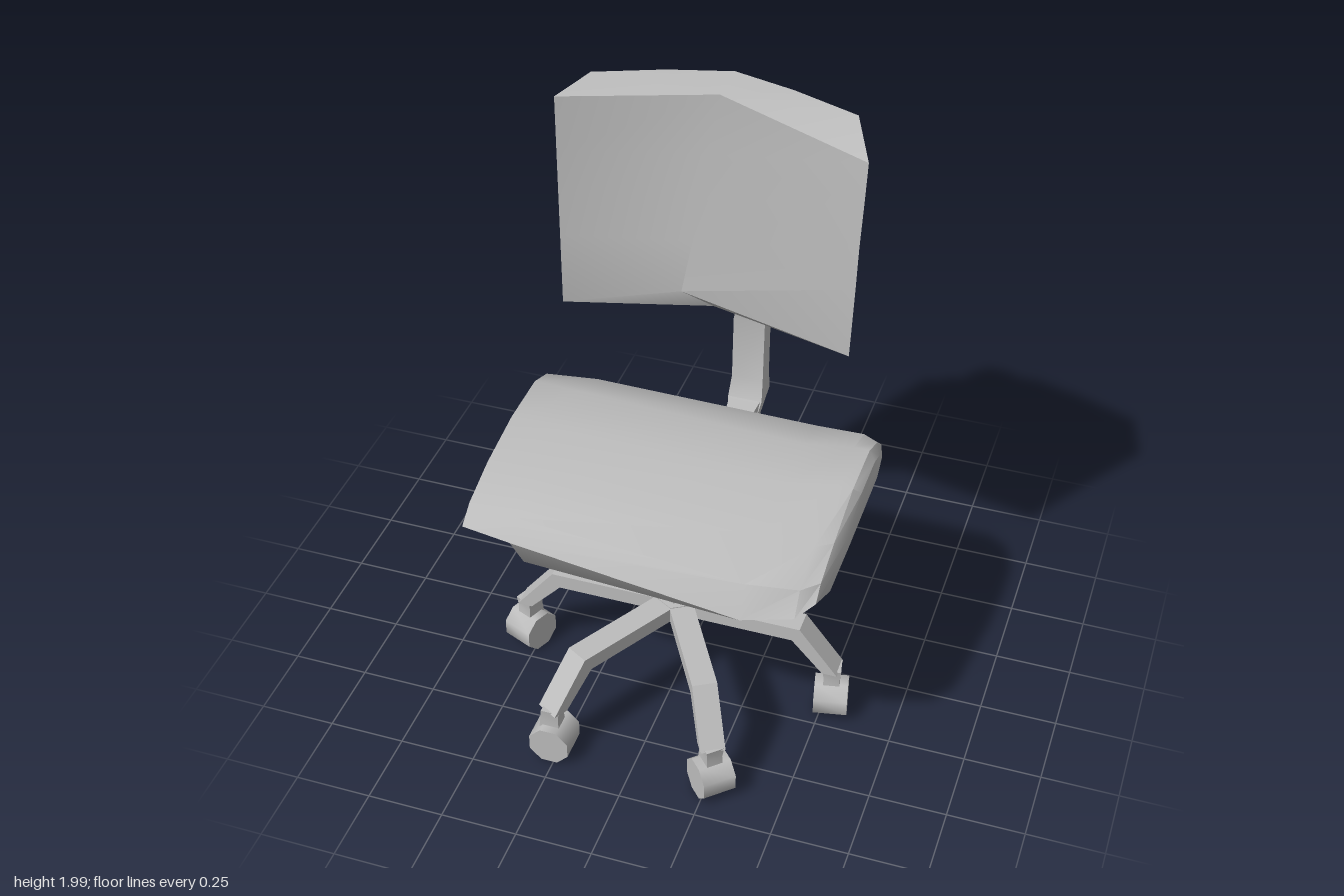
import * as THREE from 'three';
import { toCreasedNormals } from 'three/addons/utils/BufferGeometryUtils.js';

const grey = new THREE.MeshStandardMaterial({ color: 0xbcbcbc });
grey.name = 'plain grey';

// Skin a row of equal-length point loops and close both ends, facing outwards
function loft(loops) {
  const n = loops[0].length, m = loops.length;
  const pts = loops.flat().map(p => new THREE.Vector3(...p));
  const tris = [];
  for (let i = 0; i < m - 1; i++) {
    for (let j = 0; j < n; j++) {
      const a = i * n + j, b = i * n + (j + 1) % n;
      tris.push([a, b, b + n], [a, b + n, a + n]);
    }
  }
  for (const end of [0, m - 1]) {
    const mid = new THREE.Vector3();
    for (let j = 0; j < n; j++) mid.addScaledVector(pts[end * n + j], 1 / n);
    const c = pts.push(mid) - 1;
    for (let j = 0; j < n; j++) {
      const a = end * n + j, b = end * n + (j + 1) % n;
      tris.push(end ? [a, b, c] : [b, a, c]);
    }
  }
  // A negative volume means the loops run the other way round
  let volume = 0;
  const cross = new THREE.Vector3();
  for (const [a, b, c] of tris) volume += pts[a].dot(cross.crossVectors(pts[b], pts[c]));
  if (volume < 0) tris.forEach(t => t.reverse());
  const g = new THREE.BufferGeometry().setFromPoints(pts);
  g.setIndex(tris.flat());
  return g;
}

function part(parent, name, geometry, crease = 0.6) {
  const mesh = new THREE.Mesh(toCreasedNormals(geometry, crease), grey);
  mesh.name = name;
  parent.add(mesh);
  return mesh;
}

// Upright tapered cylinder between two heights
function column(y0, y1, r0, r1, sides = 8) {
  return new THREE.CylinderGeometry(r1, r0, y1 - y0, sides).translate(0, (y0 + y1) / 2, 0);
}

// Rectangular loop lying flat at height y
const flatLoop = (y, hx, z0, z1) => [[-hx, y, z0], [hx, y, z0], [hx, y, z1], [-hx, y, z1]];
// Rectangular loop standing at depth z
const standingLoop = (z, hx, y0, y1) => [[-hx, y0, z], [hx, y0, z], [hx, y1, z], [-hx, y1, z]];

function createBase() {
  const base = new THREE.Group();
  base.name = 'base';
  base.position.z = 0.165;
  part(base, 'hub', column(0.31, 0.37, 0.075, 0.075, 6));
  part(base, 'gasColumn', column(0.36, 0.49, 0.05, 0.062));
  part(base, 'seatNeck', column(0.6, 0.68, 0.055, 0.075));
  part(base, 'housing', loft([
    flatLoop(0.47, 0.062, -0.065, 0.06), flatLoop(0.5, 0.08, -0.08, 0.085), flatLoop(0.625, 0.08, -0.09, 0.085)
  ]));

  // Bent leg profile: distance from the hub against height
  const outline = [[0, 0.315], [0.4, 0.315], [0.505, 0.2], [0.555, 0.2], [0.425, 0.367], [0, 0.367]];
  const legShape = new THREE.Shape(outline.map(p => new THREE.Vector2(...p)));
  const legGeometry = new THREE.ExtrudeGeometry(legShape, { depth: 0.08, bevelEnabled: false }).translate(0, 0, -0.04);
  const casterYaw = [0.2, 0.75, Math.PI / 2, -0.4, 0.6, -0.75];
  casterYaw.forEach((yaw, i) => {
    const leg = new THREE.Group();
    leg.name = 'leg' + (i + 1);
    leg.rotation.y = -i * Math.PI / 3;
    part(leg, 'legBar', legGeometry);
    const caster = new THREE.Group();
    caster.name = 'caster';
    caster.position.x = 0.53;
    caster.rotation.y = i * Math.PI / 3 + yaw;
    part(caster, 'casterStem', loft([
      flatLoop(0.12, 0.028, -0.04, 0.03), flatLoop(0.165, 0.026, -0.035, 0.025), flatLoop(0.205, 0.03, -0.03, 0.03)
    ]));
    const wheel = new THREE.CylinderGeometry(0.07, 0.07, 0.11, 8);
    part(caster, 'wheel', wheel.rotateY(Math.PI / 8).rotateZ(Math.PI / 2).translate(0, 0.077, 0), 0.9);
    leg.add(caster);
    base.add(leg);
  });
  return base;
}

// Cushion sections across the width: x, then [z, y] from the front crease over the top
const seatSections = [
  [-0.56, [[0.565, 0.83], [0.5, 0.875], [0.35, 0.92], [0.15, 0.95], [-0.05, 0.95], [-0.15, 0.91], [-0.215, 0.85], [-0.12, 0.74], [0.3, 0.72]]],
  [-0.4, [[0.575, 0.815], [0.52, 0.87], [0.35, 0.915], [0.15, 0.945], [-0.05, 0.945], [-0.2, 0.89], [-0.285, 0.8], [-0.16, 0.66], [0.48, 0.66]]],
  [0.35, [[0.63, 0.765], [0.58, 0.865], [0.38, 0.9], [0.15, 0.918], [-0.05, 0.918], [-0.2, 0.88], [-0.285, 0.8], [-0.16, 0.675], [0.5, 0.675]]],
  [0.51, [[0.6, 0.79], [0.55, 0.86], [0.4, 0.905], [0.15, 0.945], [-0.05, 0.945], [-0.18, 0.9], [-0.265, 0.82], [-0.15, 0.7], [0.45, 0.705]]],
  [0.56, [[0.55, 0.82], [0.5, 0.86], [0.36, 0.9], [0.15, 0.945], [-0.05, 0.945], [-0.15, 0.9], [-0.22, 0.84], [-0.12, 0.73], [0.38, 0.725]]],
  [0.583, [[0.35, 0.84], [0.3, 0.87], [0.24, 0.89], [0.13, 0.92], [-0.03, 0.92], [-0.09, 0.9], [-0.13, 0.86], [-0.08, 0.82], [0.25, 0.81]]]
];

// Backrest levels: front left, middle and right points, then the back's height, outer, inner and centre depth
const backLevels = [
  { front: [[-0.47, 1.25, -0.1], [-0.1, 1.32, -0.175], [0.465, 1.25, -0.1]], y: 1.232, outer: -0.22, inner: -0.32, centre: -0.385 },
  { front: [[-0.47, 1.5, -0.1], [-0.07, 1.5, -0.195], [0.475, 1.5, -0.097]], y: 1.5, outer: -0.24, inner: -0.41, centre: -0.46 },
  { front: [[-0.47, 1.65, -0.1], [-0.05, 1.65, -0.21], [0.48, 1.65, -0.095]], y: 1.65, outer: -0.25, inner: -0.425, centre: -0.485 },
  { front: [[-0.47, 1.8, -0.1], [-0.03, 1.8, -0.225], [0.488, 1.8, -0.093]], y: 1.8, outer: -0.25, inner: -0.39, centre: -0.445 },
  { front: [[-0.47, 1.985, -0.1], [0, 2, -0.24], [0.495, 1.945, -0.09]], y: 2, outer: -0.25, inner: -0.335, centre: -0.39 }
];

// Backrest post: height, half width, front and rear depth
const postLevels = [
  [0.56, 0.045, -0.5, -0.57], [0.65, 0.06, -0.555, -0.65], [0.72, 0.055, -0.58, -0.655], [0.95, 0.055, -0.59, -0.66],
  [1.0, 0.045, -0.585, -0.662], [1.06, 0.055, -0.57, -0.69], [1.13, 0.04, -0.588, -0.67], [1.24, 0.052, -0.565, -0.69],
  [1.34, 0.045, -0.585, -0.69], [1.45, 0.052, -0.565, -0.688], [1.56, 0.06, -0.575, -0.685], [1.61, 0.055, -0.585, -0.665]
];

export function createModel() {
  const chair = new THREE.Group();
  chair.name = 'officeChair';
  chair.add(createBase());

  part(chair, 'seat', loft(seatSections.map(([x, ring]) => ring.map(([z, y]) => [x, y, z]))));

  part(chair, 'backrest', loft(backLevels.map(({ front, y, outer, inner, centre }) => [
    ...front, [0.42, y, outer], [0.2, y, inner], [0, y, centre], [-0.2, y, inner], [-0.41, y, outer]
  ])));

  // Support arm under the seat, then the post behind it
  part(chair, 'supportArm', loft([
    standingLoop(0.12, 0.06, 0.55, 0.625), standingLoop(-0.1, 0.045, 0.555, 0.622),
    standingLoop(-0.46, 0.045, 0.555, 0.637), standingLoop(-0.56, 0.055, 0.55, 0.65)
  ]));
  part(chair, 'backPost', loft(postLevels.map(([y, hx, z0, z1]) => flatLoop(y, hx, z0, z1))));

  // Knuckle and flared bracket holding the backrest
  part(chair, 'knuckle', loft([
    standingLoop(-0.67, 0.045, 1.6, 1.64), standingLoop(-0.61, 0.065, 1.59, 1.685), standingLoop(-0.56, 0.04, 1.61, 1.66)
  ]));
  part(chair, 'clampScrew', new THREE.BoxGeometry(0.03, 0.07, 0.08).translate(0.06, 1.62, -0.6));
  part(chair, 'backBracket', loft([
    standingLoop(-0.57, 0.04, 1.61, 1.66), standingLoop(-0.52, 0.06, 1.59, 1.7), standingLoop(-0.44, 0.105, 1.55, 1.77)
  ]));
  return chair;
}
